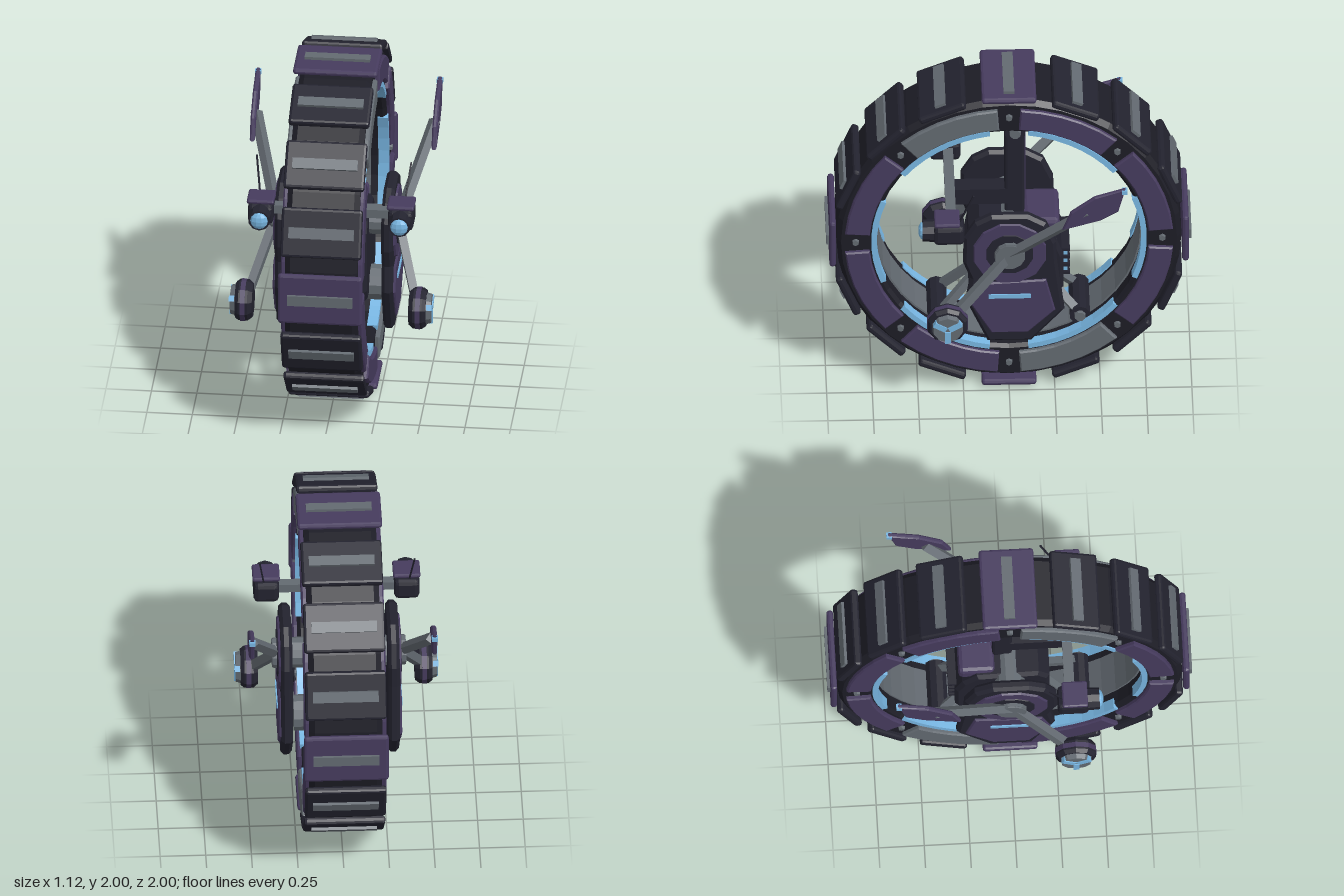
import * as THREE from 'three';
import { RoundedBoxGeometry } from 'three/addons/geometries/RoundedBoxGeometry.js';

const material = (name, color) => Object.assign(new THREE.MeshStandardMaterial({ color }), { name });
const { PI, sin, cos } = Math;

export function createModel() {
  const root = new THREE.Group();
  root.name = 'monowheel';
  const rubber = material('rim black', 0x1d1d26);
  const dark = material('dark plating', 0x23232f);
  const purple = material('purple armour', 0x463b5e);
  const grey = material('grey metal', 0x636a71);
  const blue = material('blue glow', 0x78b6e2);

  // ---- helpers ----
  const faceted = (geo) => {
    const g = geo.index ? geo.toNonIndexed() : geo;
    g.computeVertexNormals();
    return g;
  };
  const add = (name, geo, mat, parent = root) => {
    const mesh = new THREE.Mesh(faceted(geo), mat);
    mesh.name = name;
    parent.add(mesh);
    return mesh;
  };
  // Reflects a geometry across x = 0 and restores the corner order
  const mirrored = (geo) => {
    const g = faceted(geo).clone();
    const p = g.attributes.position;
    const a = new THREE.Vector3(), b = new THREE.Vector3();
    g.scale(-1, 1, 1);
    for (let i = 0; i < p.count; i += 3) {
      a.fromBufferAttribute(p, i + 1);
      b.fromBufferAttribute(p, i + 2);
      p.setXYZ(i + 1, b.x, b.y, b.z);
      p.setXYZ(i + 2, a.x, a.y, a.z);
    }
    return g;
  };
  const both = (name, geo, mat) => {
    add(name + 'Left', geo, mat);
    add(name + 'Right', mirrored(geo), mat);
  };
  const box = (w, h, d, x, y, z) => new THREE.BoxGeometry(w, h, d).translate(x, y, z);
  const soft = (w, h, d, x, y, z, r = 0.015) => new RoundedBoxGeometry(w, h, d, 1, r).translate(x, y, z);
  // Cylinder along x from x0 to x1
  const drum = (r0, r1, x0, x1, y, z, n = 12) =>
    new THREE.CylinderGeometry(r1, r0, x1 - x0, n).rotateY(PI / n).rotateZ(-PI / 2).translate((x0 + x1) / 2, y, z);
  // Outline of [z, y] points extruded from x0 to x1
  const plate = (pts, x0, x1, bevel = 0) => {
    const shape = new THREE.Shape(pts.map(([z, y]) => new THREE.Vector2(-z, y)));
    return new THREE.ExtrudeGeometry(shape, {
      depth: x1 - x0 - 2 * bevel, bevelEnabled: bevel > 0, bevelSegments: 1,
      bevelThickness: bevel, bevelSize: bevel, bevelOffset: -bevel,
    }).rotateY(PI / 2).translate(x0 + bevel, 0, 0);
  };
  // Ring sector; angles run from the top towards +z
  const sector = (r0, r1, a0, a1, x0, x1, n = 5, bevel = 0) => {
    const pts = [];
    const at = (r, a) => pts.push([r * sin(a), 1 + r * cos(a)]);
    for (let i = 0; i <= n; i++) at(r1, a0 + (a1 - a0) * i / n);
    for (let i = n; i >= 0; i--) at(r0, a0 + (a1 - a0) * i / n);
    return plate(pts, x0, x1, bevel);
  };
  const beam = (from, to, w, h) => {
    const a = new THREE.Vector3(...from), b = new THREE.Vector3(...to);
    const dir = b.clone().sub(a);
    const q = new THREE.Quaternion().setFromUnitVectors(new THREE.Vector3(0, 0, 1), dir.clone().normalize());
    const mid = a.add(b).multiplyScalar(0.5);
    return new THREE.BoxGeometry(w, h, dir.length()).applyQuaternion(q).translate(mid.x, mid.y, mid.z);
  };
  const ring = (profile) => new THREE.LatheGeometry(profile.map(([r, x]) => new THREE.Vector2(r, x)), 40)
    .rotateZ(PI / 2).translate(0, 1, 0);

  // ---- wheel rim ----
  add('rim', ring([[0.75, -0.2], [0.92, -0.2], [0.945, -0.17], [0.945, 0.17], [0.92, 0.2],
    [0.75, 0.2], [0.732, 0.18], [0.732, -0.18], [0.75, -0.2]]), rubber);
  add('innerTrack', ring([[0.722, -0.11], [0.74, -0.11], [0.74, 0.11], [0.722, 0.11], [0.722, -0.11]]), grey);

  // ---- tread plates ----
  for (let i = 0; i < 16; i++) {
    const main = i % 4 === 0;
    const tread = new THREE.Group();
    tread.name = 'tread' + i;
    tread.position.y = 1;
    tread.rotation.x = i * PI / 8;
    root.add(tread);
    if (main) add('armourPlate', soft(0.465, 0.036, 0.3, 0, 0.966, 0), purple, tread);
    else add('treadPlate', soft(0.445, 0.045, 0.275, 0, 0.953, 0), dark, tread);
    const top = main ? 1 : 0.992;
    add('treadBar', box(0.36, 0.03, 0.06, 0, top - 0.015, 0), grey, tread);
  }

  // ---- side panels, bolts and light arcs ----
  for (let i = 0; i < 8; i++) {
    const a = i * PI / 4;
    both('sidePanel', sector(0.765, 0.9, a + 0.07, a + PI / 4 - 0.07, 0.19, 0.225, 5, 0.008),
      i === 0 || i === 4 ? grey : purple);
    both('bolt', drum(0.022, 0.018, 0.19, 0.217, 1 + 0.84 * cos(a), 0.84 * sin(a), 6), grey);
  }
  for (let i = 0; i < 6; i++) {
    const a = (i + 0.5) * PI / 3;
    both('lightArc', sector(0.724, 0.755, a - 0.38, a + 0.38, 0.15, 0.208, 7), blue);
  }

  // ---- central body ----
  add('hull', plate([[0.17, 0.57], [0.22, 0.65], [0.22, 1.02], [0.16, 1.08], [-0.18, 1.06], [-0.26, 0.97],
    [-0.3, 0.86], [-0.3, 0.64], [-0.22, 0.57]], -0.18, 0.18, 0.02), dark);
  add('rearCowl', soft(0.3, 0.1, 0.2, 0, 1.04, -0.18, 0.025), purple);
  add('axle', drum(0.085, 0.085, -0.36, 0.36, 1, 0), grey);
  add('bellyDrum', drum(0.1, 0.1, -0.25, 0.25, 0.6, -0.02), grey);
  add('ventGlow', box(0.26, 0.16, 0.03, 0, 0.8, -0.308), blue);
  for (let i = 0; i < 4; i++) add('ventFin', box(0.29, 0.018, 0.05, 0, 0.72 + i * 0.053, -0.31), dark);

  // ---- side pods ----
  both('sidePod', plate([[0.12, 0.39], [0.24, 0.67], [0.215, 0.82], [0.255, 0.93], [0.25, 1.1], [0.19, 1.2],
    [0.1, 1.25], [-0.1, 1.25], [-0.2, 1.19], [-0.255, 1.06], [-0.26, 0.94], [-0.3, 0.6], [-0.12, 0.39]],
  0.262, 0.325, 0.018), dark);
  both('podCover', plate([[0.17, 0.8], [-0.2, 0.82], [-0.25, 0.61], [-0.1, 0.46], [0.1, 0.46], [0.215, 0.66]],
    0.315, 0.338, 0.008), purple);
  both('podLight', box(0.008, 0.026, 0.23, 0.341, 0.715, 0), blue);
  both('hubRing', drum(0.215, 0.2, 0.31, 0.336, 1, 0), purple);
  both('hubWell', drum(0.135, 0.13, 0.33, 0.341, 1, 0), dark);
  both('hubCap', drum(0.085, 0.08, 0.33, 0.367, 1, 0), grey);

  // ---- guide post and rollers ----
  add('guidePost', soft(0.1, 0.58, 0.11, 0, 1.325, -0.035), dark);
  add('postStrip', box(0.04, 0.44, 0.008, 0, 1.36, -0.092), purple);
  add('postNeck', box(0.04, 0.1, 0.04, 0, 1.64, -0.035), grey);
  for (const [y, z] of [[1.69, -0.035], [0.43, 0.39], [0.43, -0.39]]) {
    add('guideRoller', drum(0.058, 0.058, -0.15, 0.15, y, z, 10), dark);
    both('rollerCap', drum(0.036, 0.03, 0.14, 0.165, y, z, 8), grey);
  }
  for (const s of [1, -1])
    both('rollerFork', beam([0.05, 0.64, s * 0.2], [0.13, 0.43, s * 0.39], 0.04, 0.045), grey);

  // ---- headlamps on a crossbar ----
  add('crossbar', box(0.64, 0.05, 0.055, 0, 1.215, 0.32), grey);
  add('crossbarStem', box(0.1, 0.1, 0.34, 0, 1.18, 0.15), dark);
  const along = (geo, x, y, z) => geo.rotateX(PI / 2).translate(x, y, z);
  both('lampHousing', soft(0.14, 0.12, 0.17, 0.385, 1.21, 0.335, 0.025), dark);
  both('lampBarrel', along(new THREE.CylinderGeometry(0.06, 0.064, 0.08, 10), 0.385, 1.21, 0.44), dark);
  both('lampLens', new THREE.SphereGeometry(0.05, 10, 6).scale(1, 1, 0.5).translate(0.385, 1.21, 0.478), blue);
  both('lampVisor', soft(0.15, 0.025, 0.14, 0.385, 1.288, 0.345, 0.01), purple);
  both('antenna', beam([0.4, 1.28, 0.275], [0.425, 1.47, 0.2], 0.009, 0.009), dark);

  // ---- outrigger arms, thrusters and fins ----
  both('lowerArm', beam([0.335, 1, 0], [0.465, 0.66, 0.325], 0.045, 0.05), grey);
  both('upperArm', beam([0.335, 1, 0], [0.49, 1.4, -0.43], 0.045, 0.05), grey);
  const ty = 0.645, tz = 0.345;
  both('thrusterBack', drum(0.095, 0.115, 0.43, 0.455, ty, tz, 10), dark);
  both('thrusterBody', drum(0.115, 0.115, 0.455, 0.505, ty, tz, 10), dark);
  both('thrusterBand', drum(0.118, 0.118, 0.468, 0.495, ty, tz, 10), purple);
  both('thrusterLip', drum(0.115, 0.1, 0.505, 0.525, ty, tz, 10), dark);
  both('thrusterFace', drum(0.09, 0.08, 0.52, 0.552, ty, tz, 10), grey);
  for (let i = 0; i < 3; i++)
    both('thrusterVane', box(0.03, 0.075, 0.032, 0.543, 0.0475, 0).rotateX(PI + i * 2 * PI / 3).translate(0, ty, tz), blue);
  both('fin', plate([[-0.285, 1.29], [-0.33, 1.41], [-0.46, 1.51], [-0.63, 1.565], [-0.59, 1.41], [-0.49, 1.35]],
    0.486, 0.514, 0.008), purple);
  both('finTip', box(0.034, 0.024, 0.03, 0.5, 1.545, -0.625), blue);

  return root;
}
